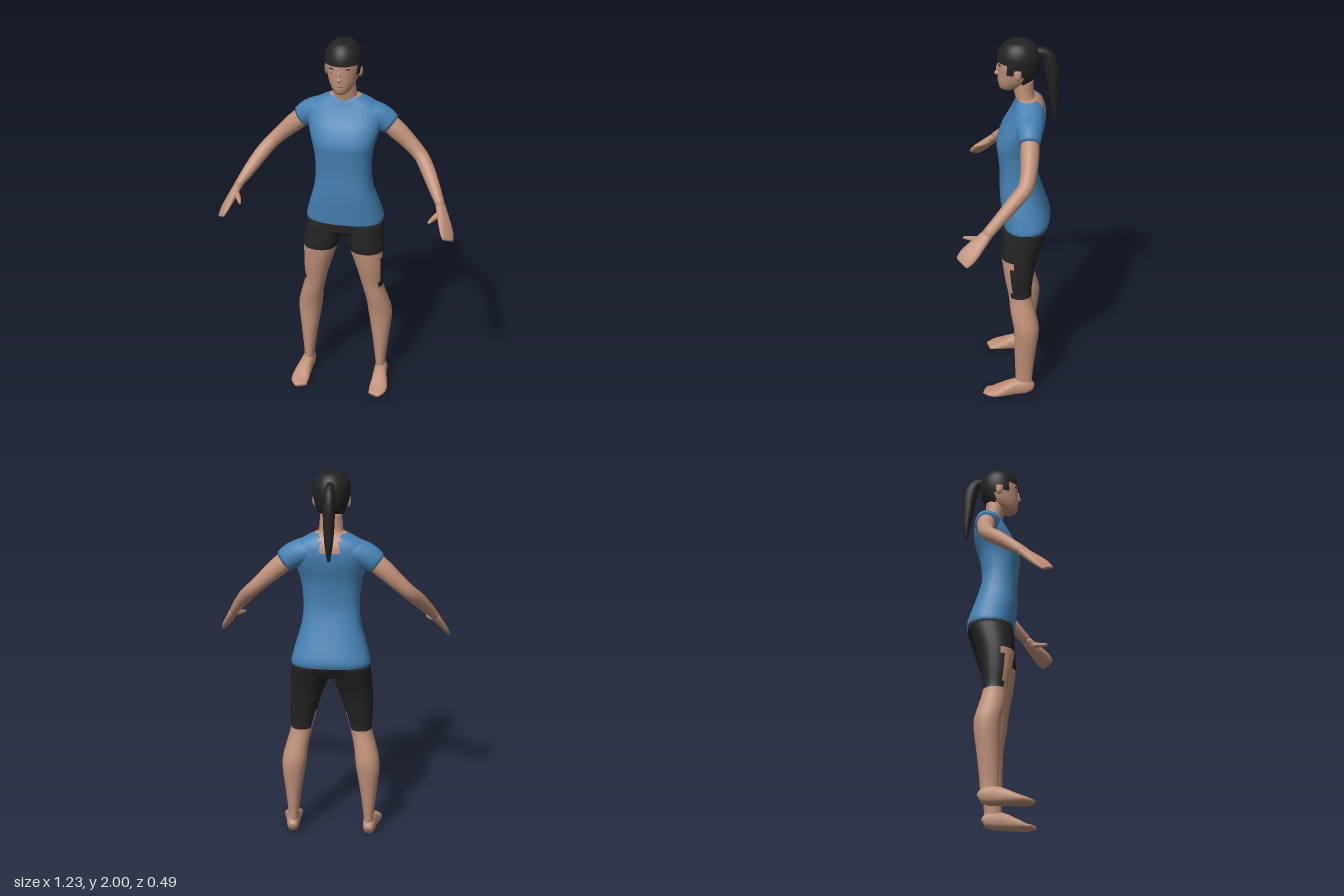
import * as THREE from 'three';

const mat = (name, color) => {
  const m = new THREE.MeshStandardMaterial({ color });
  m.name = name;
  return m;
};

// Smooth body of rounded rings [x, y, z, halfU, halfV] along a path.
// v is the ring's depth direction; "level" keeps every ring horizontal.
function loft(name, rows, mats, { n = 20, sub = 3, v = [0, 0, 1], level = false, p = 2, paint = () => 0, caps = true } = {}) {
  const rings = [];
  const at = i => rows[Math.max(0, Math.min(rows.length - 1, i))];
  for (let i = 0; i < rows.length - 1; i++) {
    for (let s = 0; s < sub; s++) {
      const t = s / sub;
      rings.push(rows[i].map((b, k) => {
        const a = at(i - 1)[k], c = at(i + 1)[k], d = at(i + 2)[k];
        return 0.5 * (2 * b + (c - a) * t + (2 * a - 5 * b + 4 * c - d) * t * t + (3 * b - a - 3 * c + d) * t * t * t);
      }));
    }
  }
  rings.push(rows[rows.length - 1]);
  const centre = i => new THREE.Vector3(...rings[Math.max(0, Math.min(rings.length - 1, i))].slice(0, 3));
  const pos = [];
  const pow = c => Math.sign(c) * Math.abs(c) ** (2 / p);
  rings.forEach((r, i) => {
    const t = level ? new THREE.Vector3(0, 1, 0) : centre(i + 1).sub(centre(i - 1)).normalize();
    const w = new THREE.Vector3(...v).addScaledVector(t, -t.dot(new THREE.Vector3(...v))).normalize();
    const u = t.clone().cross(w);
    for (let j = 0; j < n; j++) {
      const q = j / n * Math.PI * 2;
      const pt = centre(i).addScaledVector(u, r[3] * pow(Math.cos(q))).addScaledVector(w, r[4] * pow(Math.sin(q)));
      pos.push(pt.x, pt.y, pt.z);
    }
  });
  const last = rings.length - 1, base = pos.length / 3;
  pos.push(...rings[0].slice(0, 3), ...rings[last].slice(0, 3));
  const faces = mats.map(() => []);
  const add = (...ids) => {
    const mid = [0, 1, 2].map(k => ids.reduce((s, id) => s + pos[id * 3 + k], 0) / ids.length);
    const f = faces[paint(...mid)];
    if (!f) return;
    f.push(ids[0], ids[1], ids[2]);
    if (ids.length === 4) f.push(ids[0], ids[2], ids[3]);
  };
  for (let j = 0; j < n; j++) {
    const k = (j + 1) % n;
    for (let i = 0; i < last; i++) add(i * n + j, (i + 1) * n + j, (i + 1) * n + k, i * n + k);
    if (caps) {
      add(base, j, k);
      add(base + 1, last * n + k, last * n + j);
    }
  }
  const g = new THREE.BufferGeometry();
  g.setAttribute('position', new THREE.Float32BufferAttribute(pos, 3));
  g.setIndex(faces.flat());
  let start = 0;
  faces.forEach((f, i) => { g.addGroup(start, f.length, i); start += f.length; });
  g.computeVertexNormals();
  const mesh = new THREE.Mesh(g, mats);
  mesh.name = name;
  return mesh;
}

// Level section written as y, left/right edges, front and back
const sec = (y, x0, x1, zf, zb) => [(x0 + x1) / 2, y, (zf + zb) / 2, (x1 - x0) / 2, (zf - zb) / 2];
const sym = (y, hw, zf, zb) => sec(y, -hw, hw, zf, zb);

export function createModel() {
  const model = new THREE.Group();
  model.name = 'standingWoman';
  const skin = mat('skin', 0xbf9078), shirt = mat('blueShirt', 0x4682b4);
  const black = mat('blackShorts', 0x232323), hair = mat('darkHair', 0x222222), lip = mat('lips', 0x9f6a5c);
  hair.side = THREE.DoubleSide;

  const blob = (name, m, x, y, z, sx, sy, sz) => {
    const b = new THREE.Mesh(new THREE.SphereGeometry(1, 12, 8), m);
    b.position.set(x, y, z);
    b.scale.set(sx, sy, sz);
    b.name = name;
    model.add(b);
  };

  // Torso: shorts at the hips, shirt above, bare patch at the nape
  model.add(loft('torso', [
    sym(0.94, 0.18, 0.025, -0.18), sym(1.0, 0.205, 0.03, -0.21), sym(1.04, 0.2, 0.035, -0.215),
    sym(1.12, 0.178, 0.045, -0.19), sym(1.2, 0.155, 0.05, -0.165), sym(1.3, 0.145, 0.05, -0.14),
    sym(1.4, 0.152, 0.06, -0.145), sym(1.46, 0.165, 0.065, -0.155), sym(1.53, 0.185, 0.04, -0.175),
    sym(1.59, 0.197, 0.005, -0.185), sym(1.64, 0.18, -0.02, -0.18), sym(1.68, 0.115, -0.035, -0.16),
    sym(1.7, 0.07, -0.045, -0.135),
  ], [shirt, black, skin], {
    n: 32, p: 2.5, level: true,
    paint: (x, y, z) => y < 1.0 ? 1 : (y > 1.695 || (z < -0.1 && Math.abs(x) < 0.05 && y > 1.61)) ? 2 : 0,
  }));

  // Neck and head
  model.add(loft('neck', [
    sym(1.62, 0.06, -0.045, -0.15), sym(1.68, 0.066, -0.035, -0.14), sym(1.72, 0.06, -0.025, -0.125),
    sym(1.8, 0.055, -0.01, -0.12),
  ], [skin], { level: true }));
  const headRows = [
    sym(1.738, 0.022, 0.036, -0.02), sym(1.755, 0.044, 0.05, -0.06), sym(1.79, 0.066, 0.056, -0.11),
    sym(1.83, 0.078, 0.057, -0.135), sym(1.87, 0.086, 0.057, -0.146), sym(1.91, 0.087, 0.053, -0.148),
    sym(1.95, 0.075, 0.037, -0.133), sym(1.98, 0.05, 0.008, -0.105), sym(1.992, 0.018, -0.025, -0.072),
  ];
  model.add(loft('head', headRows, [skin], { n: 28, level: true }));

  // Hair cap with fringe, sideburns and openings round the ears
  const hairRows = headRows.map(([x, y, z, a, b]) => [x, y + (y > 1.9 ? 0.008 : 0), z, a + 0.007, b + 0.006]);
  model.add(loft('hairCap', hairRows, [hair], {
    n: 36, sub: 4, level: true,
    paint: (x, y, z) => {
      const edge = z > 0.005 ? 1.89 : z > -0.025 ? 1.835 : z > -0.065 ? 1.865 : 1.785;
      return y > edge ? 0 : -1;
    },
  }));
  model.add(loft('ponytail', [
    [0, 1.94, -0.13, 0.02, 0.02], [0, 1.925, -0.18, 0.03, 0.025], [0, 1.86, -0.208, 0.036, 0.03],
    [0, 1.76, -0.218, 0.03, 0.028], [0, 1.66, -0.228, 0.02, 0.02], [0, 1.58, -0.228, 0.006, 0.007],
  ], [hair], { n: 12, v: [1, 0, 0] }));

  // Face details
  blob('nose', skin, 0, 1.825, 0.059, 0.014, 0.012, 0.015);
  blob('noseBridge', skin, 0, 1.845, 0.056, 0.008, 0.026, 0.009);
  blob('mouth', lip, 0, 1.789, 0.053, 0.022, 0.005, 0.006);

  for (const s of [1, -1]) {
    const side = s > 0 ? 'left' : 'right';
    const flip = rows => rows.map(([x, ...rest]) => [x * s, ...rest]);
    blob(side + 'Ear', skin, s * 0.086, 1.845, -0.045, 0.012, 0.03, 0.018);
    blob(side + 'Eyebrow', hair, s * 0.036, 1.879, 0.045, 0.018, 0.004, 0.006);
    blob(side + 'Eye', lip, s * 0.034, 1.858, 0.046, 0.013, 0.003, 0.004);

    // Sleeve
    model.add(loft(side + 'Sleeve', flip([
      [0.09, 1.615, -0.1, 0.06, 0.075], [0.14, 1.598, -0.102, 0.065, 0.074],
      [0.19, 1.575, -0.106, 0.066, 0.063], [0.235, 1.543, -0.107, 0.058, 0.051],
    ]), [shirt]));

    // Arm bent forward at the elbow
    model.add(loft(side + 'Arm', flip([
      [0.2, 1.57, -0.107, 0.05, 0.045], [0.27, 1.51, -0.108, 0.049, 0.047], [0.33, 1.455, -0.106, 0.042, 0.042],
      [0.395, 1.392, -0.09, 0.037, 0.038], [0.44, 1.34, -0.04, 0.037, 0.036], [0.49, 1.27, 0.03, 0.031, 0.031],
      [0.535, 1.205, 0.095, 0.021, 0.028],
    ]), [skin]));

    // Mitten hand and thumb
    model.add(loft(side + 'Hand', flip([
      [0.53, 1.212, 0.087, 0.02, 0.027], [0.553, 1.165, 0.132, 0.019, 0.038], [0.575, 1.122, 0.175, 0.015, 0.047],
      [0.587, 1.093, 0.202, 0.01, 0.044], [0.592, 1.08, 0.214, 0.006, 0.036],
    ]), [skin], { n: 14, p: 2.4, v: [s * 0.05, -0.03, -0.065] }));
    model.add(loft(side + 'Thumb', flip([
      [0.54, 1.185, 0.115, 0.016, 0.016], [0.512, 1.172, 0.16, 0.014, 0.014], [0.49, 1.165, 0.208, 0.007, 0.007],
    ]), [skin], { n: 10, v: [0, 1, 0] }));

    // Leg: shorts reach lower behind and outside than in front
    model.add(loft(side + 'Leg', flip([
      sec(0.04, 0.178, 0.238, -0.04, -0.13), sec(0.1, 0.178, 0.232, -0.04, -0.13), sec(0.25, 0.16, 0.246, -0.035, -0.145),
      sec(0.42, 0.133, 0.262, -0.03, -0.165), sec(0.52, 0.122, 0.242, -0.012, -0.145), sec(0.62, 0.1, 0.216, 0, -0.122),
      sec(0.72, 0.073, 0.219, 0.02, -0.13), sec(0.84, 0.035, 0.218, 0.037, -0.15), sec(0.92, 0.01, 0.212, 0.036, -0.178),
      sec(1.0, 0.002, 0.203, 0.03, -0.205),
    ]), [skin, black], {
      n: 24, level: true, p: 2.15,
      paint: (x, y, z) => {
        const inner = Math.abs(x) < 0.15;
        return y > 0.84 || (y > 0.62 && z < (inner ? -0.085 : -0.02)) ? 1 : 0;
      },
    }));

    // Bare foot
    model.add(loft(side + 'Foot', flip([
      [0.206, 0.036, -0.132, 0.022, 0.026], [0.208, 0.05, -0.1, 0.034, 0.045], [0.212, 0.048, -0.04, 0.037, 0.046],
      [0.22, 0.032, 0.03, 0.046, 0.031], [0.221, 0.02, 0.08, 0.049, 0.019], [0.206, 0.014, 0.126, 0.032, 0.01],
    ]), [skin], { n: 16, p: 2.5, v: [0, 1, 0] }));
  }
  return model;
}
